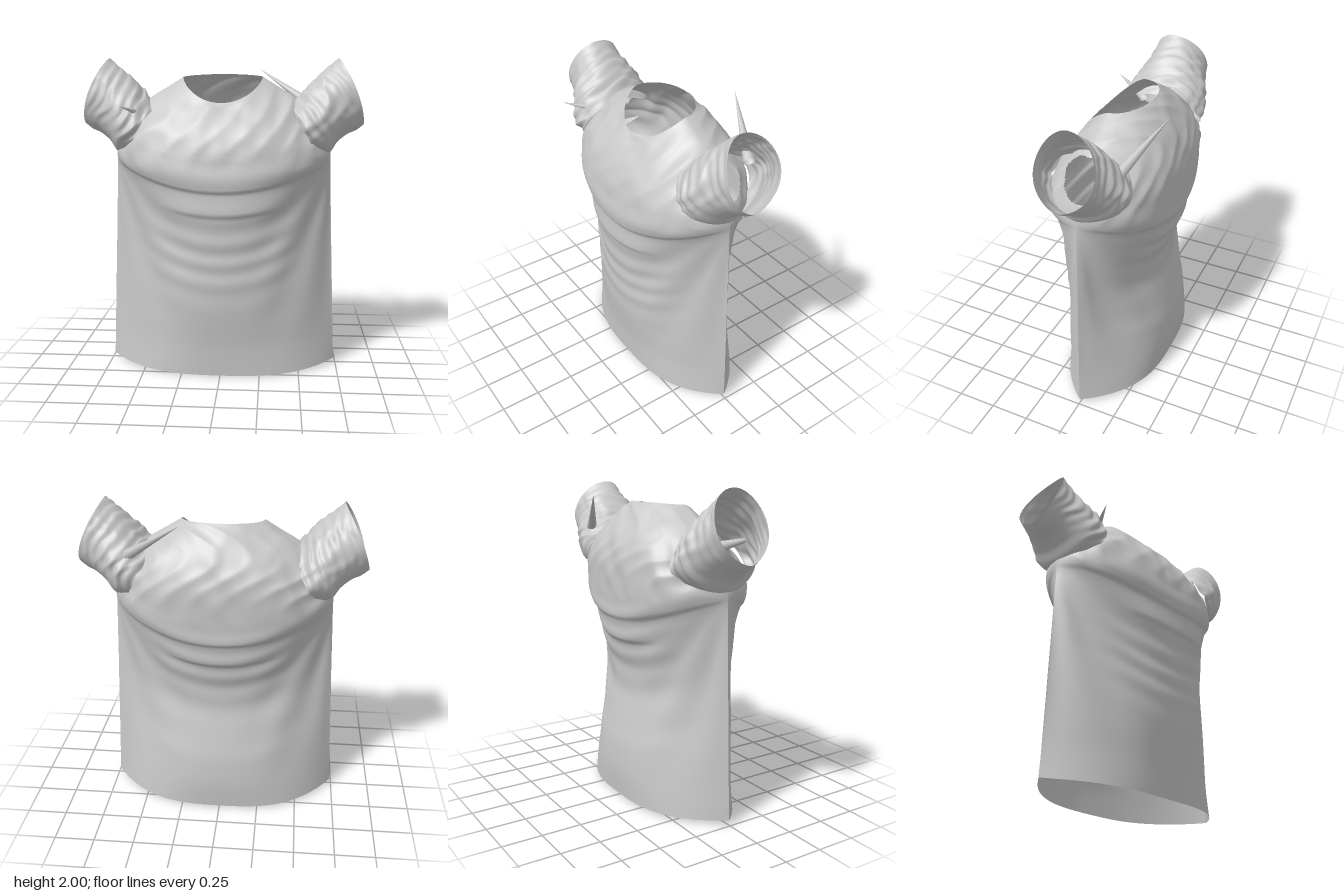
import * as THREE from 'three';

const { smoothstep } = THREE.MathUtils;

// Catmull-Rom lookup through rows of key values, t in 0..1
function sample(keys, t) {
  const n = keys.length - 1, f = Math.min(t * n, n - 1e-6), i = Math.floor(f), s = f - i;
  const a = keys[Math.max(i - 1, 0)], b = keys[i], c = keys[i + 1], d = keys[Math.min(i + 2, n)];
  return b.map((v, k) => v + 0.5 * s * (c[k] - a[k]
    + s * (2 * a[k] - 5 * v + 4 * c[k] - d[k] + s * (3 * (v - c[k]) + d[k] - a[k]))));
}

// Grid surface from a rule point(u, v); cells where skip() is true are left open
function surface(rows, cols, point, skip = () => false) {
  const pos = [], index = [], pts = [];
  for (let r = 0; r <= rows; r++) {
    for (let c = 0; c <= cols; c++) {
      const p = point(c / cols, r / rows);
      pts.push(p);
      pos.push(...p);
    }
  }
  for (let r = 0; r < rows; r++) {
    for (let c = 0; c < cols; c++) {
      const a = r * (cols + 1) + c, d = a + cols + 1;
      if (skip(pts[a]) && skip(pts[d + 1])) continue;
      index.push(a, a + 1, d, a + 1, d + 1, d);
    }
  }
  const g = new THREE.BufferGeometry();
  g.setAttribute('position', new THREE.Float32BufferAttribute(pos, 3));
  g.setIndex(index);
  g.computeVertexNormals();
  return g;
}

// Irregular cloth crumple, about -1..1
function crumple(x, y, z) {
  const a = Math.sin(x * 17 + 3 * Math.sin(y * 9 + z * 5));
  const b = Math.sin(y * 23 - x * 11 + 2 * Math.sin(x * 13 - z * 8));
  const c = Math.sin(z * 19 + y * 14 + 2 * Math.sin(x * 21));
  return (1 - 2 * Math.abs(a)) * 0.4 + b * 0.35 + c * 0.25;
}

// Body rings, sagging from the sides to the middle:
// half width, side y, front y, back y, front z, back z, section exponents
const BODY = [
  [0.737, 0.035, 0.005, 0.015, 0.288, 0.343, 3, 1],
  [0.73, 0.22, 0.2, 0.2, 0.3, 0.355, 2.5, 1.03],
  [0.72, 0.45, 0.4, 0.4, 0.325, 0.34, 2.25, 1.06],
  [0.71, 0.7, 0.6, 0.6, 0.34, 0.295, 2.1, 1.05],
  [0.7, 0.93, 0.8, 0.8, 0.345, 0.272, 2.05, 1.02],
  [0.692, 1.15, 1.0, 1.0, 0.358, 0.312, 2.1, 0.95],
  [0.685, 1.33, 1.17, 1.16, 0.372, 0.35, 2.3, 0.8],
  [0.683, 1.42, 1.3, 1.33, 0.38, 0.375, 2.7, 0.62],
  [0.663, 1.51, 1.42, 1.49, 0.37, 0.38, 2.8, 0.58],
  [0.61, 1.61, 1.51, 1.61, 0.343, 0.362, 2.6, 0.56],
  [0.53, 1.7, 1.59, 1.7, 0.303, 0.327, 2.4, 0.53],
  [0.44, 1.77, 1.65, 1.78, 0.263, 0.277, 2.2, 0.5],
  [0.34, 1.83, 1.695, 1.855, 0.228, 0.219, 2, 0.5],
  [0.25, 1.885, 1.73, 1.9, 0.2, 0.172, 2, 0.5],
];

// Folds of the hanging cloth, as an offset in depth
function folds(u, y, sign) {
  const au = Math.sqrt(u * u + 0.015);
  // creases fanning out from the armpits
  const dy = Math.max(1.42 - y, 0), dx = 1.05 - au;
  const fan = Math.sin(Math.atan2(dy, dx) * 15 + sign) * smoothstep(dy, 0.05, 0.5)
    * (1 - smoothstep(dy, 0.8, 1.4)) * smoothstep(au, 0.2, 0.6);
  // sagging swags across the middle
  const sag = y - 0.3 * u * u;
  const swag = Math.sin(sag * 36 + 2 * Math.sin(sag * 7 + sign))
    * smoothstep(y, 0.25, 0.8) * (1 - smoothstep(y, 1.25, 1.4)) * (1 - smoothstep(au, 0.4, 0.8));
  // overhanging ledges below the chest
  const ledge = (level, w) => {
    const c = level + 0.17 * u * u;
    return smoothstep(y, c - 0.012, c + 0.012) * (1 - smoothstep(y, c + 0.02, c + 0.18)) * w;
  };
  const ledges = ledge(1.2, 1) + ledge(1.05, 1 - smoothstep(au, 0.25, 0.6));
  return 0.008 * fan + 0.004 * swag + 0.013 * ledges;
}

// Front (sign 1) or back (sign -1) panel, meeting in a sharp side seam
function panel(sign) {
  const point = (s, v) => {
    const [X, ys, yf, yb, zf, zb, p, q] = sample(BODY, v);
    const th = Math.PI * (1 - s), u = Math.cos(th) * sign, k = Math.sin(th);
    const x = X * u;
    const y = ys + ((sign > 0 ? yf : yb) - ys) * Math.pow(Math.abs(k), 1.4);
    const depth = Math.pow(Math.max(1 - Math.pow(Math.abs(u), p), 0), q);
    const z = depth * (sign > 0 ? zf : zb);
    const edge = Math.min(1, k * 2.5) * (1 - smoothstep(v, 0.93, 1));
    const rough = smoothstep(y, 1.28, 1.5) * edge * (0.008 + 0.008 * smoothstep(Math.abs(x), 0.25, 0.55));
    const w = crumple(x, y, z * sign) * rough;
    return [x, y + w * 0.5, sign * (z + w + folds(u, y, sign) * edge)];
  };
  // armhole opening hidden inside the sleeve
  const armhole = ([x, y, z]) => Math.abs(x) > 0.48
    && ((y - 1.62) / 0.11) ** 2 + (z / 0.15) ** 2 < 1;
  return surface(182, 88, point, armhole);
}

// Sleeve rings: top x, top y, bottom x, bottom y, front z, back z
const SLEEVE = [
  [0.42, 1.71, 0.6, 1.4, 0.25, 0.27],
  [0.48, 1.77, 0.675, 1.41, 0.258, 0.28],
  [0.53, 1.83, 0.725, 1.48, 0.235, 0.268],
  [0.6, 1.9, 0.785, 1.53, 0.19, 0.235],
  [0.66, 1.95, 0.84, 1.555, 0.165, 0.21],
  [0.72, 2.0, 0.885, 1.59, 0.155, 0.2],
];

function sleeve(side) {
  return surface(56, 72, (s, v) => {
    const [tx, ty, bx, by, zf, zb] = sample(SLEEVE, v);
    const t = Math.PI * (1 + 2 * s * side);
    const h = (1 + Math.cos(t)) / 2, k = Math.sin(t);
    // lower half is pinched towards the underarm seam
    const pinch = h < 0.5 ? Math.pow(Math.abs(k), 0.3) : 1;
    let x = bx + (tx - bx) * h + 0.025 * k * k * v;
    let y = by + (ty - by) * h;
    let z = k * pinch * (k > 0 ? zf : zb);
    // crumples run around the arm, strongest at the shoulder, none underarm
    const amp = (0.016 - 0.01 * v) * (1 - smoothstep(v, 0.88, 1)) * smoothstep(h, 0.1, 0.45);
    const w = amp * (0.4 * Math.sin(v * 40 + 3 * Math.sin(t * 2 + side) + Math.sin(t * 5))
      + 0.9 * crumple(x * side * 1.4, y * 1.4, z * 1.6));
    x += w * 0.3 * (h - 0.5);
    y += w * Math.cos(t);
    z += w * k;
    return [x * side, y, z];
  });
}

// Pulled-out point of cloth from base to tip
function spike(base, tip, radius) {
  const a = new THREE.Vector3(...base), b = new THREE.Vector3(...tip);
  const dir = b.clone().sub(a), len = dir.length();
  const g = new THREE.ConeGeometry(radius, len, 10, 1, true);
  g.translate(0, len / 2, 0);
  g.applyQuaternion(new THREE.Quaternion().setFromUnitVectors(new THREE.Vector3(0, 1, 0), dir.normalize()));
  return g.translate(...base);
}

export function createModel() {
  const cloth = new THREE.MeshStandardMaterial({ color: 0xc8c8c8, side: THREE.DoubleSide });
  cloth.name = 'grey cloth';
  const shirt = new THREE.Group();
  shirt.name = 'shirt';
  const add = (name, geometry) => {
    const mesh = new THREE.Mesh(geometry, cloth);
    mesh.name = name;
    shirt.add(mesh);
  };
  add('frontPanel', panel(1));
  add('backPanel', panel(-1));
  add('leftSleeve', sleeve(1));
  add('rightSleeve', sleeve(-1));
  add('backClothPoint', spike([0.58, 1.69, -0.2], [0.22, 1.935, -0.37], 0.036));
  add('frontClothPoint', spike([-0.47, 1.65, 0.1], [-0.6, 1.715, 0.335], 0.032));
  return shirt;
}
